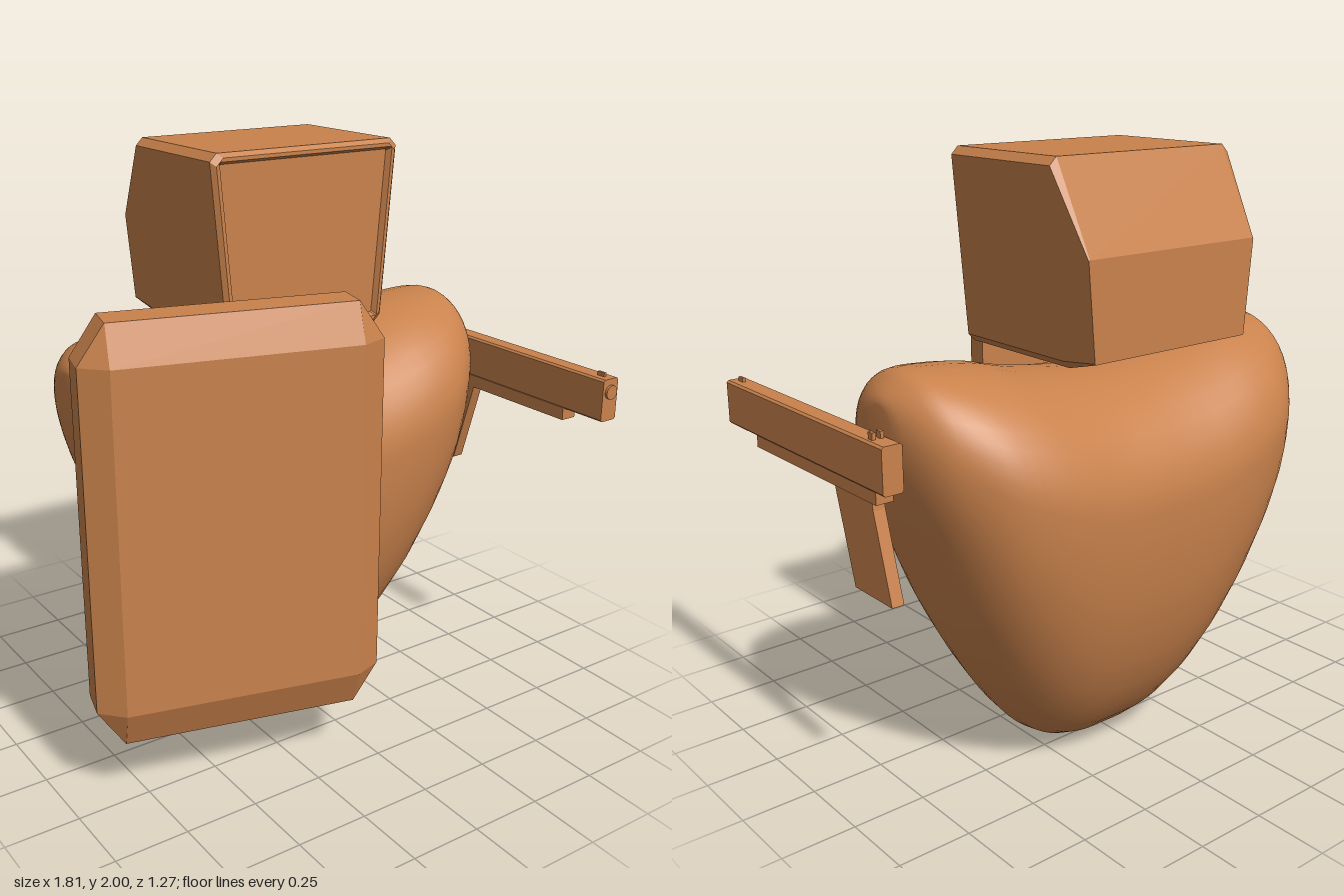
import * as THREE from 'three';

const clay = new THREE.MeshStandardMaterial({ color: 0xc9824c });
clay.name = 'clay';

// Skin a list of equal-length rings (counter-clockwise seen from the end of the loft) and cap both ends
function loft(rings, smooth = false) {
  const n = rings[0].length, pos = [], idx = [];
  rings.forEach(r => r.forEach(p => pos.push(...p)));
  for (let i = 0; i < rings.length - 1; i++) {
    for (let j = 0; j < n; j++) {
      const a = i * n + j, b = i * n + (j + 1) % n;
      idx.push(a, b, b + n, a, b + n, a + n);
    }
  }
  [0, rings.length - 1].forEach((k, end) => {
    const c = pos.length / 3;
    for (let d = 0; d < 3; d++) pos.push(rings[k].reduce((s, p) => s + p[d], 0) / n);
    for (let j = 0; j < n; j++) {
      const a = k * n + j, b = k * n + (j + 1) % n;
      if (end) idx.push(c, a, b); else idx.push(c, b, a);
    }
  });
  let g = new THREE.BufferGeometry();
  g.setAttribute('position', new THREE.Float32BufferAttribute(pos, 3));
  g.setIndex(idx);
  if (!smooth) g = g.toNonIndexed();
  g.computeVertexNormals();
  return g;
}

function add(parent, name, geometry, x = 0, y = 0, z = 0) {
  const m = new THREE.Mesh(geometry, clay);
  m.name = name;
  m.position.set(x, y, z);
  parent.add(m);
  return m;
}

// Heart-like torso: sections across x given as [offset, bottom, widest height, top, half depth]
function torsoGeometry() {
  const half = [
    [0, 0.005, 0.93, 1.31, 0.43], [0.11, 0.01, 0.93, 1.315, 0.43], [0.22, 0.05, 0.94, 1.33, 0.43],
    [0.33, 0.14, 0.97, 1.35, 0.427], [0.45, 0.30, 1.01, 1.38, 0.412], [0.58, 0.54, 1.07, 1.395, 0.37],
    [0.69, 0.83, 1.14, 1.4, 0.28], [0.745, 0.99, 1.19, 1.37, 0.2], [0.778, 1.12, 1.23, 1.335, 0.11],
    [0.787, 1.19, 1.25, 1.31, 0.05],
  ];
  const rows = [...half.slice(1).reverse().map(([u, ...r]) => [-u, ...r]), ...half];
  const curve = k => new THREE.CatmullRomCurve3(
    rows.map(r => new THREE.Vector3(r[0], r[k], r[k + 1])), false, 'catmullrom', 0.5);
  const low = curve(1), high = curve(3), steps = 54, sides = 40, rings = [];
  for (let i = 0; i <= steps; i++) {
    const a = low.getPoint(i / steps), b = high.getPoint(i / steps);
    const ring = [];
    for (let j = 0; j < sides; j++) {
      const t = j / sides * Math.PI * 2, c = Math.cos(t), s = Math.sin(t);
      const power = s < 0 ? 1.12 : 1;
      const y = a.z + s * (s < 0 ? a.z - a.y : b.y - a.z);
      ring.push([a.x, y, -b.z * Math.sign(c) * Math.abs(c) ** power]);
    }
    rings.push(ring);
  }
  return loft(rings, true);
}

// Head: trapezoid sections with clipped corners, wider at the top
function headRing(z, bottom, top, inset = 0, cut = 0.025) {
  const b = bottom + inset, t = top - inset;
  const w = y => 0.31 + 0.05 * (y - 1.41) / 0.56 - inset;
  const right = [[w(b + cut) - cut, b], [w(b + cut), b + cut], [w(t - cut), t - cut], [w(t - cut) - cut, t]];
  const left = right.map(([x, y]) => [-x, y]).reverse();
  return [...right, ...left].map(([x, y]) => [x, y, z]);
}

// Shield: plan outline at one height, with chamfered front edges
function shieldRing(y, w, sideDepth, frontW, frontDepth) {
  return [[-w, 0], [-w, sideDepth], [-frontW, frontDepth], [frontW, frontDepth], [w, sideDepth], [w, 0]]
    .map(([x, z]) => [x, y, z]);
}

export function createModel() {
  const model = new THREE.Group();
  model.name = 'figure';

  add(model, 'torso', torsoGeometry(), 0.04, 0, -0.205);

  // Helmet block with a sloped back and a shallow recessed face
  add(model, 'head', loft([
    headRing(-0.585, 1.42, 1.725, 0, 0.004),
    headRing(-0.44, 1.38, 2),
    headRing(0.035, 1.38, 2),
    headRing(0.05, 1.38, 2, 0.014),
    headRing(0.05, 1.38, 2, 0.026, 0.004),
    headRing(0.03, 1.38, 2, 0.036, 0.004),
  ]), 0.02, 0, 0);

  // Tall shield turned slightly outward
  const shield = add(model, 'shield', loft([
    shieldRing(0.22, 0.388, 0.12, 0.387, 0.121),
    shieldRing(0.345, 0.473, 0.115, 0.388, 0.17),
    shieldRing(1.47, 0.473, 0.115, 0.388, 0.17),
    shieldRing(1.595, 0.388, 0.12, 0.387, 0.121),
  ]), -0.422, 0, 0.24);
  shield.rotation.y = -THREE.MathUtils.degToRad(14.8);

  // Sidearm
  const gun = new THREE.Group();
  gun.name = 'sidearm';
  gun.position.set(0.863, 0, 0.15);
  gun.rotation.y = 0.006;
  model.add(gun);

  const bar = new THREE.Shape();
  const w = 0.035, h = 0.075, c = 0.007;
  [[-w + c, -h], [w - c, -h], [w, -h + c], [w, h - c], [w - c, h], [-w + c, h], [-w, h - c], [-w, -h + c]]
    .forEach(([x, y], i) => (i ? bar.lineTo(x, y) : bar.moveTo(x, y)));
  add(gun, 'slide', new THREE.ExtrudeGeometry(bar, { depth: 0.95, bevelEnabled: false }), 0, 1.15, -0.475);
  add(gun, 'frameRail', new THREE.BoxGeometry(0.06, 0.045, 0.72), -0.004, 1.056, -0.06);

  const muzzle = new THREE.CylinderGeometry(0.025, 0.025, 0.02, 20).rotateX(Math.PI / 2);
  add(gun, 'muzzle', muzzle, 0, 1.178, 0.474);

  // Slanted grip
  const gripRing = (y, z0, z1) => [[-0.021, y, z0], [-0.021, y, z1], [0.021, y, z1], [0.021, y, z0]];
  add(gun, 'grip', loft([
    gripRing(0.72, -0.46, -0.257),
    gripRing(1.0, -0.378, -0.172),
    gripRing(1.045, -0.37, -0.16),
  ]), -0.01, 0, 0);

  // Sights
  for (const x of [-0.014, 0.014]) {
    add(gun, 'rearSight', new THREE.BoxGeometry(0.012, 0.024, 0.022), x, 1.235, -0.393);
  }
  add(gun, 'frontSight', new THREE.BoxGeometry(0.01, 0.016, 0.03), 0, 1.231, 0.432);

  return model;
}
